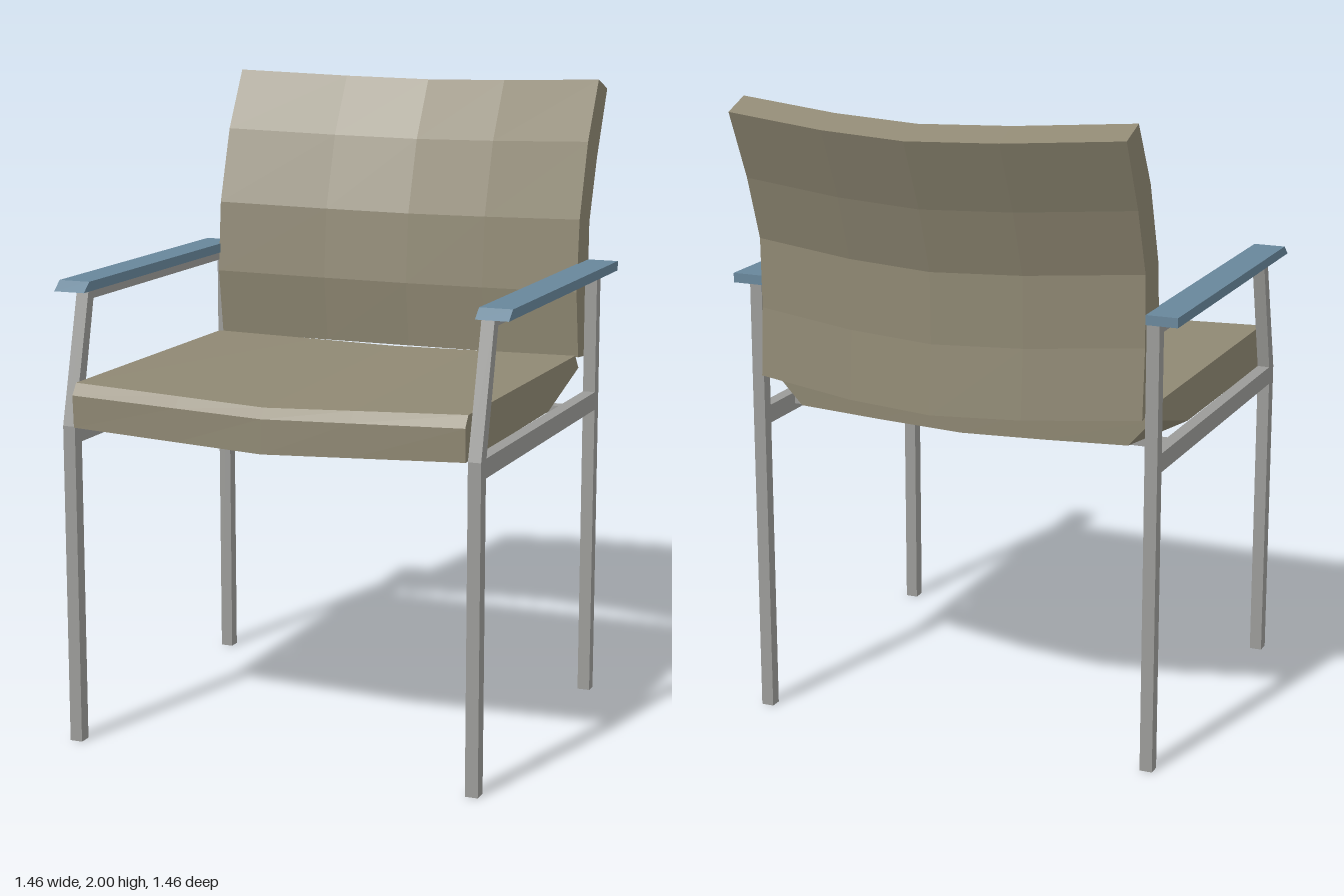
import * as THREE from 'three';

const HALF = 0.629; // half width of the cushions

// Skin closed sections (arrays of [x, y, z]) running from -x to +x, with flat facets.
function loft(sections) {
  const n = sections[0].length, pos = [];
  const tri = (a, b, c) => pos.push(...a, ...b, ...c);
  for (let i = 0; i < sections.length - 1; i++) {
    const s = sections[i], t = sections[i + 1];
    for (let j = 0; j < n; j++) {
      const k = (j + 1) % n;
      tri(s[j], t[j], t[k]);
      tri(s[j], t[k], s[k]);
    }
  }
  // end caps as strips between the two halves of the section
  const first = sections[0], last = sections[sections.length - 1];
  for (let j = 0; j < n - 2 - j; j++) {
    const a = j, b = j + 1, c = n - 2 - j, d = n - 1 - j;
    tri(first[a], first[b], first[d]);
    tri(last[a], last[d], last[b]);
    if (b < c) {
      tri(first[b], first[c], first[d]);
      tri(last[b], last[d], last[c]);
    }
  }
  const g = new THREE.BufferGeometry();
  g.setAttribute('position', new THREE.Float32BufferAttribute(pos, 3));
  g.computeVertexNormals();
  return g;
}

// Extrude a [z, y] outline along x, starting at x0.
function sidePlate(outline, x0, width) {
  const shape = new THREE.Shape(outline.map(([z, y]) => new THREE.Vector2(-z, y)));
  const g = new THREE.ExtrudeGeometry(shape, { depth: width, bevelEnabled: false });
  g.rotateY(Math.PI / 2);
  g.translate(x0, 0, 0);
  return g;
}

const rect = (z0, z1, y0, y1) => [[z0, y0], [z1, y0], [z1, y1], [z0, y1]];

export function createModel() {
  const model = new THREE.Group();
  model.name = 'armchair';

  const fabric = new THREE.MeshStandardMaterial({ color: 0x8f8873 });
  fabric.name = 'beigeFabric';
  const metal = new THREE.MeshStandardMaterial({ color: 0x9b9b98 });
  metal.name = 'greyMetal';
  const pad = new THREE.MeshStandardMaterial({ color: 0x68869a });
  pad.name = 'blueArmPad';

  const add = (name, geometry, material, parent = model) => {
    const mesh = new THREE.Mesh(geometry, material);
    mesh.name = name;
    parent.add(mesh);
    return mesh;
  };

  const stations = [-HALF, -0.28, 0, 0.28, HALF];

  // Seat cushion: bowed front and belly, lower rear corners tucked in
  add('seat', loft(stations.map((x) => {
    const c = 1 - Math.abs(x) / HALF;
    const tuck = c === 0 ? 0.87 : 1;
    return [
      [x * tuck, 1.0 - 0.025 * c, -0.35],
      [x, 1.005 - 0.03 * c, -0.05],
      [x, 1.0 - 0.025 * c, 0.705 + 0.02 * c],
      [x, 1.1 - 0.02 * c, 0.71 + 0.015 * c],
      [x, 1.135 - 0.025 * c, 0.685 + 0.015 * c],
      [x, 1.135 - 0.01 * c, -0.32],
      [x, 1.09, -0.355],
    ];
  })), fabric);

  // Backrest: leaning banana profile, bowed backwards in the middle
  const backProfile = [
    [-0.35, 1.125], [-0.32, 1.34], [-0.34, 1.57], [-0.415, 1.81], [-0.52, 2.0],
    [-0.615, 1.965], [-0.515, 1.75], [-0.445, 1.55], [-0.44, 1.33], [-0.455, 1.115],
  ];
  const bow = [0, 0.085, 0.12, 0.085, 0];
  add('backrest', loft(stations.map((x, i) => backProfile.map(
    ([z, y]) => [x, y - 0.2 * bow[i], z - bow[i]],
  ))), fabric);

  // Side frames and arm pads, one per side
  const tube = 0.04;
  for (const side of [1, -1]) {
    const frame = new THREE.Group();
    frame.name = side > 0 ? 'leftSideFrame' : 'rightSideFrame';
    model.add(frame);
    const x0 = side > 0 ? 0.632 : -0.632 - tube;

    add('frontLeg', sidePlate([
      [0.652, 0], [0.694, 0], [0.694, 1.0], [0.59, 1.4], [0.553, 1.4], [0.652, 0.99],
    ], x0, tube), metal, frame);
    add('rearLeg', sidePlate(rect(-0.438, -0.4, 0, 1.4), x0, tube), metal, frame);
    add('seatRail', sidePlate(rect(-0.4, 0.652, 0.947, 1.005), x0, tube), metal, frame);
    add('armRail', sidePlate(rect(-0.4, 0.56, 1.375, 1.4), x0, tube), metal, frame);

    add('armPad', sidePlate([
      [-0.44, 1.4], [0.63, 1.4], [0.595, 1.43], [-0.44, 1.43],
    ], side > 0 ? 0.626 : -0.728, 0.102), pad, frame);
  }

  // Cross bars under the seat
  for (const [name, z] of [['frontCrossBar', 0.46], ['rearCrossBar', -0.22]]) {
    const bar = add(name, new THREE.BoxGeometry(1.27, 0.025, 0.04), metal);
    bar.position.set(0, 0.98, z);
  }

  return model;
}
